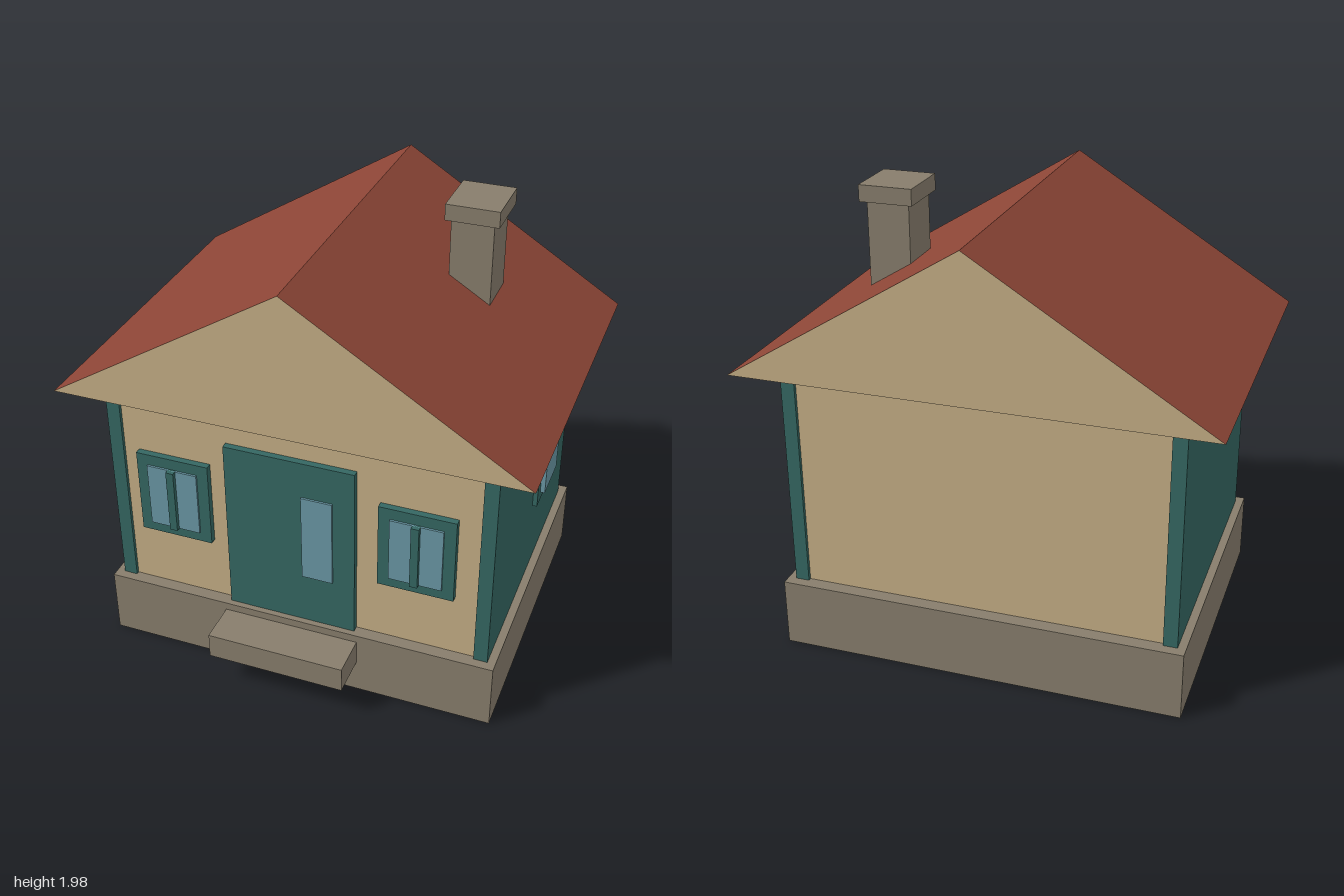
import * as THREE from 'three';

const mat = (name, color, side = THREE.FrontSide) => {
  const m = new THREE.MeshStandardMaterial({ color, side });
  m.name = name;
  return m;
};

export function createModel() {
  const stone = mat('stone', 0x877d6c);
  const plaster = mat('plaster', 0xc4ad85, THREE.DoubleSide);
  const teal = mat('teal paint', 0x356762);
  const red = mat('roof red', 0x8c4536, THREE.DoubleSide);
  const glass = mat('glass', 0x6997a4);

  const house = new THREE.Group();
  house.name = 'house';

  // Box given by its extents along each axis
  const box = (name, material, [x0, x1], [y0, y1], [z0, z1], parent = house) => {
    const mesh = new THREE.Mesh(new THREE.BoxGeometry(x1 - x0, y1 - y0, z1 - z0), material);
    mesh.position.set((x0 + x1) / 2, (y0 + y1) / 2, (z0 + z1) / 2);
    mesh.name = name;
    parent.add(mesh);
    return mesh;
  };

  // Flat convex panel from its corners, counter-clockwise seen from outside
  const panel = (name, material, corners) => {
    const points = [];
    for (let i = 1; i < corners.length - 1; i++) points.push(...corners[0], ...corners[i], ...corners[i + 1]);
    const geometry = new THREE.BufferGeometry();
    geometry.setAttribute('position', new THREE.Float32BufferAttribute(points, 3));
    geometry.computeVertexNormals();
    const mesh = new THREE.Mesh(geometry, material);
    mesh.name = name;
    house.add(mesh);
  };

  // Base and doorstep
  box('foundation', stone, [-0.875, 0.875], [0, 0.3], [-0.725, 0.64]);
  box('doorstep', stone, [-0.325, 0.28], [0.15, 0.265], [0.64, 0.82]);

  // Plaster body between two painted side walls that stand slightly proud
  box('walls', plaster, [-0.78, 0.78], [0.3, 1.29], [-0.665, 0.585]);
  box('rightSideWall', teal, [-0.84, -0.78], [0.3, 1.29], [-0.68, 0.6]);
  box('leftSideWall', teal, [0.78, 0.84], [0.3, 1.29], [-0.68, 0.6]);

  // Door with a tall pane
  box('door', teal, [-0.31, 0.26], [0.3, 1.11], [0.585, 0.614]);
  box('doorPane', glass, [0.03, 0.165], [0.54, 0.945], [0.614, 0.623]);

  // Front windows
  for (const [name, x] of [['rightWindow', -0.55], ['leftWindow', 0.522]]) {
    const win = new THREE.Group();
    win.name = name;
    win.position.x = x;
    house.add(win);
    box('frame', teal, [-0.163, 0.163], [0.593, 0.985], [0.585, 0.614], win);
    box('pane', glass, [-0.113, 0.113], [0.64, 0.935], [0.614, 0.623], win);
    box('mullion', teal, [-0.017, 0.017], [0.64, 0.935], [0.614, 0.642], win);
  }

  // Side window
  box('sideWindowFrame', teal, [0.84, 0.86], [0.643, 1.045], [-0.375, -0.06]);
  box('sideWindowPane', glass, [0.86, 0.88], [0.688, 0.995], [-0.327, -0.108]);

  // Hollow gabled roof, open underneath
  const front = 0.725, back = -0.815, eave = 1.29, ridge = 1.91;
  panel('leftRoofSlope', red, [[1, eave, front], [1, eave, back], [0, ridge, back], [0, ridge, front]]);
  panel('rightRoofSlope', red, [[-1, eave, back], [-1, eave, front], [0, ridge, front], [0, ridge, back]]);
  panel('frontGable', plaster, [[-1, eave, front], [1, eave, front], [0, ridge, front]]);
  panel('backGable', plaster, [[1, eave, back], [-1, eave, back], [0, ridge, back]]);

  // Chimney
  box('chimney', stone, [0.397, 0.577], [1.35, 1.91], [-0.335, -0.122]);
  box('chimneyCap', stone, [0.375, 0.602], [1.91, 1.98], [-0.357, -0.102]);

  return house;
}
